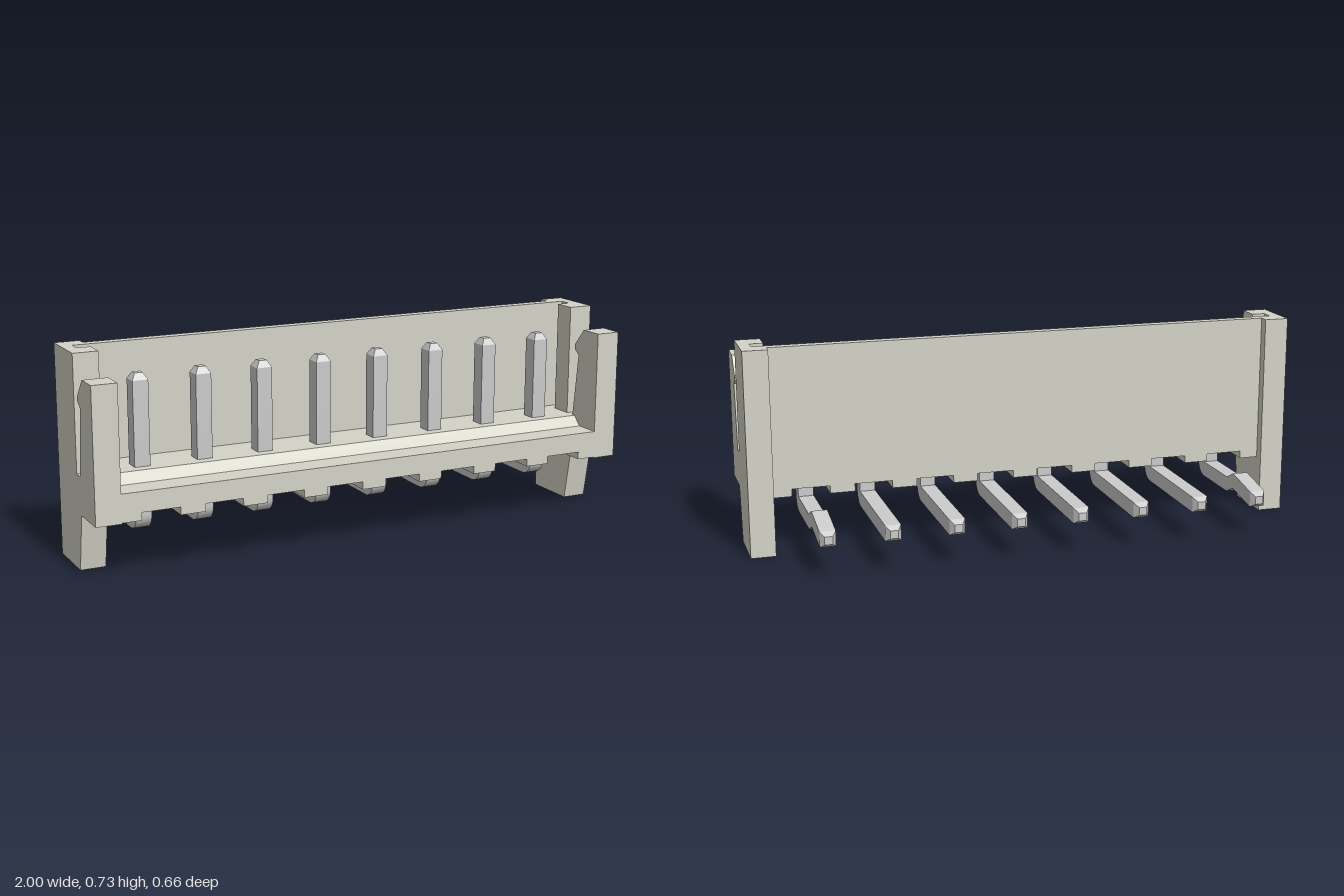
import * as THREE from 'three';
import { mergeGeometries, toCreasedNormals } from 'three/addons/utils/BufferGeometryUtils.js';

const PITCH = 0.222, COUNT = 8, PIN = 0.055;
const pinX = i => (i - (COUNT - 1) / 2) * PITCH;

// Extrude a [z, y] outline along x, from x0 to x1
function extrudeX(points, x0, x1) {
  const shape = new THREE.Shape(points.map(([z, y]) => new THREE.Vector2(-z, y)));
  return new THREE.ExtrudeGeometry(shape, { depth: x1 - x0, bevelEnabled: false })
    .rotateY(Math.PI / 2).translate(x0, 0, 0);
}

// Square tapered pin tip, growing along +y from the origin
function tip(length) {
  return new THREE.CylinderGeometry(0.014 * Math.SQRT2, PIN / 2 * Math.SQRT2, length, 4)
    .toNonIndexed().rotateY(Math.PI / 4).translate(0, length / 2, 0);
}

// Right-angle pin; the outermost ones have a kinked tail
function pinGeometry(kinked) {
  const zf = 0.162, zb = zf - PIN, y0 = 0.107, y1 = y0 + PIN, r = 0.055;
  const outline = [[zb, 0.622], [zf, 0.622]];
  for (let i = 0; i <= 8; i++) {
    const a = i / 8 * Math.PI / 2;
    outline.push([zf - r + r * Math.cos(a), y0 + r - r * Math.sin(a)]);
  }
  if (kinked) outline.push([-0.105, y0], [-0.16, 0.133]);
  outline.push([-0.31, y0], [-0.31, y1]);
  if (kinked) outline.push([-0.16, 0.189], [-0.105, y1]);
  outline.push([zb, y1]);
  const merged = mergeGeometries([
    extrudeX(outline, -PIN / 2, PIN / 2),
    tip(0.023).translate(0, 0.622, (zf + zb) / 2),
    tip(0.02).rotateX(-Math.PI / 2).translate(0, (y0 + y1) / 2, -0.31),
  ]);
  return toCreasedNormals(merged, 0.4);
}

export function createModel() {
  const model = new THREE.Group();
  model.name = 'pinHeader';
  const plastic = new THREE.MeshStandardMaterial({ color: 0xd4d3c7 });
  const metal = new THREE.MeshStandardMaterial({ color: 0xcccccc });
  const add = (name, geometry, material) => {
    const mesh = new THREE.Mesh(geometry, material);
    mesh.name = name;
    model.add(mesh);
    return mesh;
  };
  const inner = 0.912, groove = 0.96;

  // Base with a notch below every pin
  const comb = new THREE.Shape();
  comb.moveTo(-inner, 0.297);
  comb.lineTo(-inner, 0.2);
  for (let i = 0; i < COUNT; i++) {
    const x = pinX(i), h = 0.067;
    comb.lineTo(x - h, 0.2);
    comb.lineTo(x - h, 0.227);
    comb.lineTo(x + h, 0.227);
    comb.lineTo(x + h, 0.2);
  }
  comb.lineTo(inner, 0.2);
  comb.lineTo(inner, 0.297);
  add('notchedBase', new THREE.ExtrudeGeometry(comb, { depth: 0.34, bevelEnabled: false })
    .translate(0, 0, -0.01), plastic);

  // Back wall, floor and sloped front step in one section
  add('backWallAndFloor', extrudeX([
    [-0.01, 0.297], [0.235, 0.297], [0.2, 0.33], [0.025, 0.33], [0.025, 0.73], [-0.01, 0.73],
  ], -inner, inner), plastic);

  // End walls with foot and latch arm; the inner layer carries a guide groove
  const foot = [
    [-0.045, 0], [0.152, 0], [0.187, 0.197], [0.33, 0.197], [0.33, 0.66], [0.24, 0.66],
    [0.187, 0.597], [0.187, 0.58], [0.213, 0.562], [0.187, 0.33], [0.152, 0.33], [0.152, 0.73],
  ];
  const slot = [[0.07, 0.73], [0.07, 0.33], [0.025, 0.33], [0.025, 0.73]];
  const back = [[-0.045, 0.73]];
  for (const [side, s] of [['left', 1], ['right', -1]]) {
    const span = (a, b) => (s > 0 ? [a, b] : [-b, -a]);
    add(side + 'EndWall', extrudeX([...foot, ...back], ...span(groove, 1)), plastic);
    add(side + 'GroovedEndWall', extrudeX([...foot, ...slot, ...back], ...span(inner, groove)), plastic);
  }

  // Row of contact pins
  const straight = pinGeometry(false), kinked = pinGeometry(true);
  for (let i = 0; i < COUNT; i++) {
    const outer = i === 0 || i === COUNT - 1;
    add('pin' + (i + 1), outer ? kinked : straight, metal).position.x = pinX(i);
  }
  return model;
}
